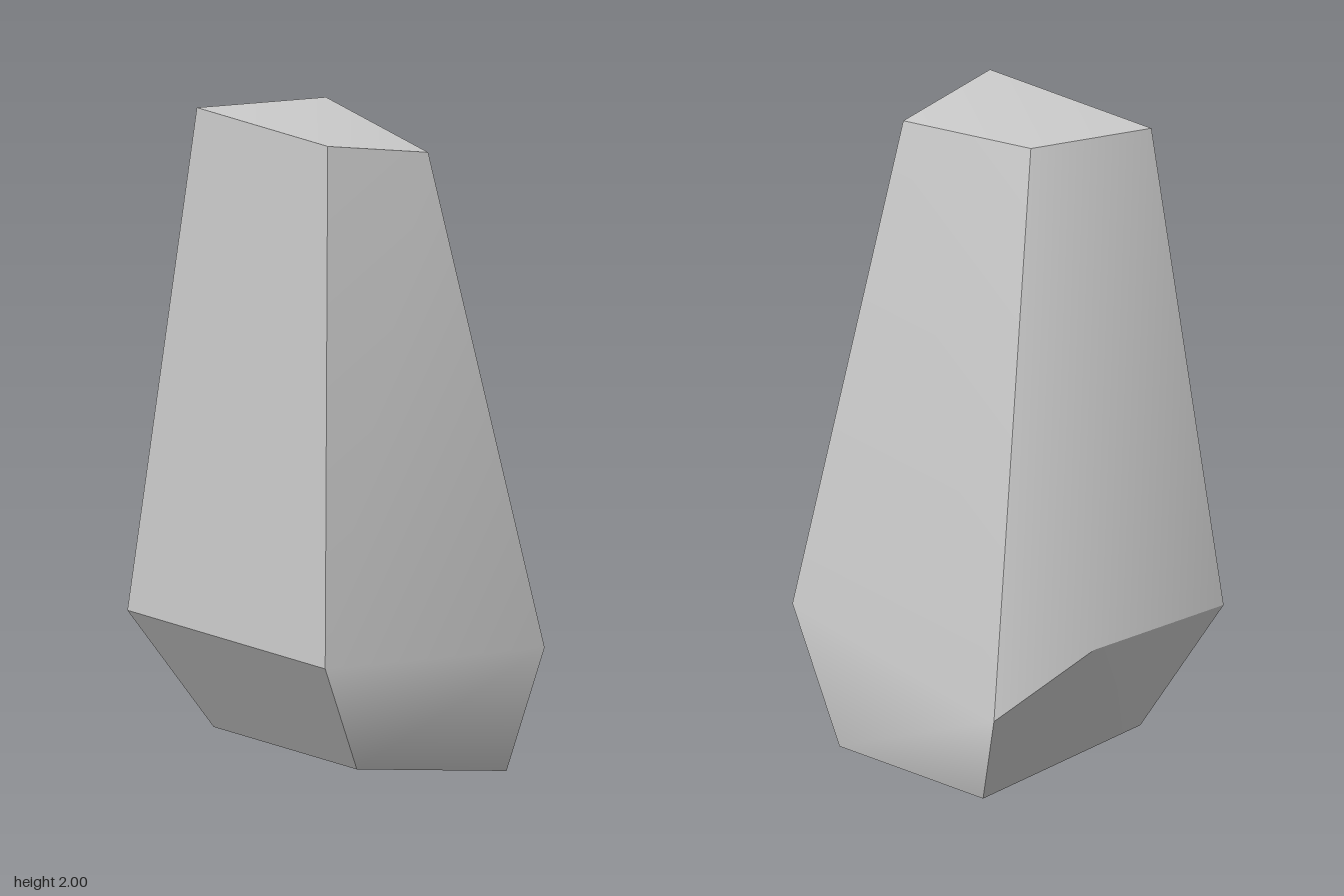
import * as THREE from 'three';

// Corners: t = top, m = middle (widest), b = base; F/B = front/back; L = +x, R = -x
const corners = {
  tFR: [-0.335, 1.99, 0.32], tFL: [0.30, 1.99, 0.32], tBL: [0.34, 1.93, -0.025], tBR: [-0.175, 2.0, -0.04],
  mFR: [-0.51, 0.445, 0.445], mFL: [0.45, 0.445, 0.445], mBL: [0.51, 0.41, -0.33], mBR: [-0.385, 0.335, -0.447],
  mR: [-0.51, 0.5, -0.14],
  bFR: [-0.37, 0.085, 0.23], bFL: [0.325, 0.085, 0.23], bBL: [0.325, 0, -0.33], bBR: [-0.24, 0, -0.33],
};

// Each facet is one or more polygons (fanned from their first corner);
// shading is smooth inside a facet and sharp between facets.
const facets = {
  topFacet: ['tFL tBL tBR tFR'],
  frontFacet: ['tFR mFR mFL tFL'],
  frontLowerFacet: ['mFR bFR bFL mFL'],
  leftFacet: ['mFL mBL tBL tFL', 'bFL bBL mBL mFL'],
  backFacet: ['tBL mBL mBR tBR', 'bBL bBR mBR mBL'],
  rightFacet: ['mR mFR tFR tBR mBR'],
  rightLowerFacet: ['mR mBR bBR bFR mFR'],
  baseFacet: ['bFR bBR bBL bFL'],
};

function facetGeometry(polygons) {
  const names = [...new Set(polygons.join(' ').split(' '))];
  const index = [];
  for (const polygon of polygons) {
    const ids = polygon.split(' ').map((n) => names.indexOf(n));
    for (let i = 1; i < ids.length - 1; i++) index.push(ids[0], ids[i], ids[i + 1]);
  }
  const geometry = new THREE.BufferGeometry();
  geometry.setAttribute('position', new THREE.Float32BufferAttribute(names.flatMap((n) => corners[n]), 3));
  geometry.setIndex(index);
  geometry.computeVertexNormals();
  return geometry;
}

export function createModel() {
  const stone = new THREE.Group();
  stone.name = 'standingStone';
  const material = new THREE.MeshStandardMaterial({ color: 0xcccccc });
  for (const [name, polygons] of Object.entries(facets)) {
    const mesh = new THREE.Mesh(facetGeometry(polygons), material);
    mesh.name = name;
    stone.add(mesh);
  }
  return stone;
}
